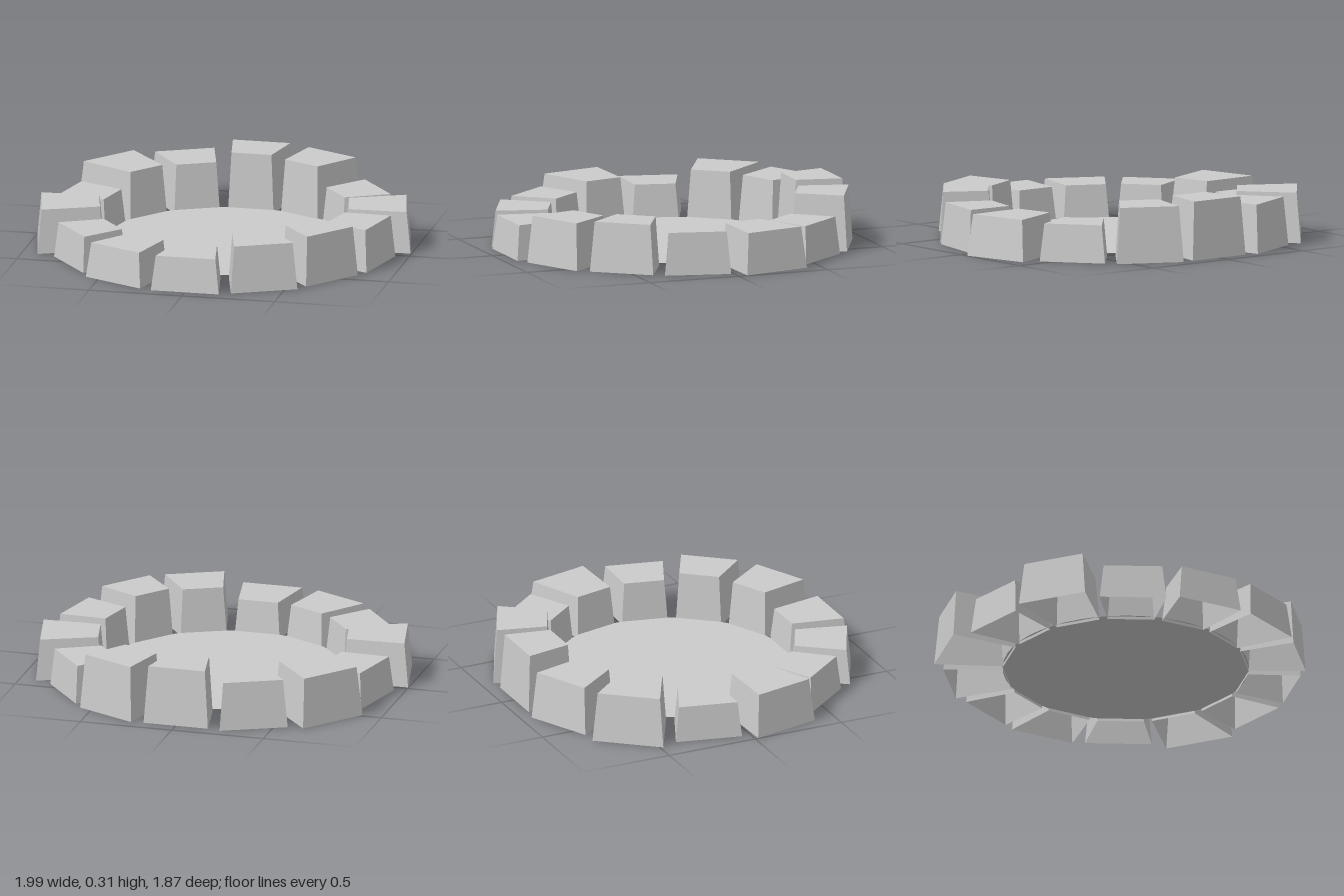
import * as THREE from 'three';

const CENTRE_Z = -0.016;   // ring centre
const INNER = 0.633;       // distance to each stone's inner face
const SPREAD = 0.193;      // half width per unit of distance
const TAPER = 0.88;        // size of a stone's top relative to its base

// [distance to outer face, height], counted from the front towards +x
const STONES = [
  [0.946, 0.185], [0.928, 0.25], [0.903, 0.265], [0.911, 0.225], [0.977, 0.22],
  [0.912, 0.2], [0.93, 0.295], [0.909, 0.31], [0.94, 0.257], [0.99, 0.265],
  [0.922, 0.19], [0.98, 0.235], [0.908, 0.19], [0.941, 0.187],
];

// Tapered wedge, open underneath, with its outer face towards +z
function stoneGeometry(outer, height) {
  const geometry = new THREE.BoxGeometry(1, 1, 1);
  const index = Array.from(geometry.index.array);
  index.splice(18, 6); // leave out the underside
  geometry.setIndex(index);
  geometry.clearGroups();

  const mid = (INNER + outer) / 2;
  const p = geometry.attributes.position;
  for (let i = 0; i < p.count; i++) {
    const top = p.getY(i) > 0;
    const r = p.getZ(i) > 0 ? outer : INNER;
    const s = top ? TAPER : 1;
    const x = Math.sign(p.getX(i)) * SPREAD * r * s;
    p.setXYZ(i, x, top ? height : 0, mid + (r - mid) * s);
  }
  geometry.computeVertexNormals();
  return geometry;
}

export function createModel() {
  const group = new THREE.Group();
  group.name = 'stoneRing';
  const material = new THREE.MeshStandardMaterial({
    color: 0xcccccc, flatShading: true, side: THREE.DoubleSide,
  });

  // Flat bed inside the ring
  const bed = new THREE.Mesh(new THREE.CircleGeometry(0.647, 48), material);
  bed.name = 'bed';
  bed.rotation.x = -Math.PI / 2;
  bed.position.set(0, 0.015, CENTRE_Z);
  group.add(bed);

  // Stones of uneven depth and height around it
  STONES.forEach(([outer, height], i) => {
    const stone = new THREE.Mesh(stoneGeometry(outer, height), material);
    stone.name = `stone${i + 1}`;
    stone.rotation.y = (i / STONES.length) * Math.PI * 2;
    stone.position.z = CENTRE_Z;
    group.add(stone);
  });

  return group;
}
